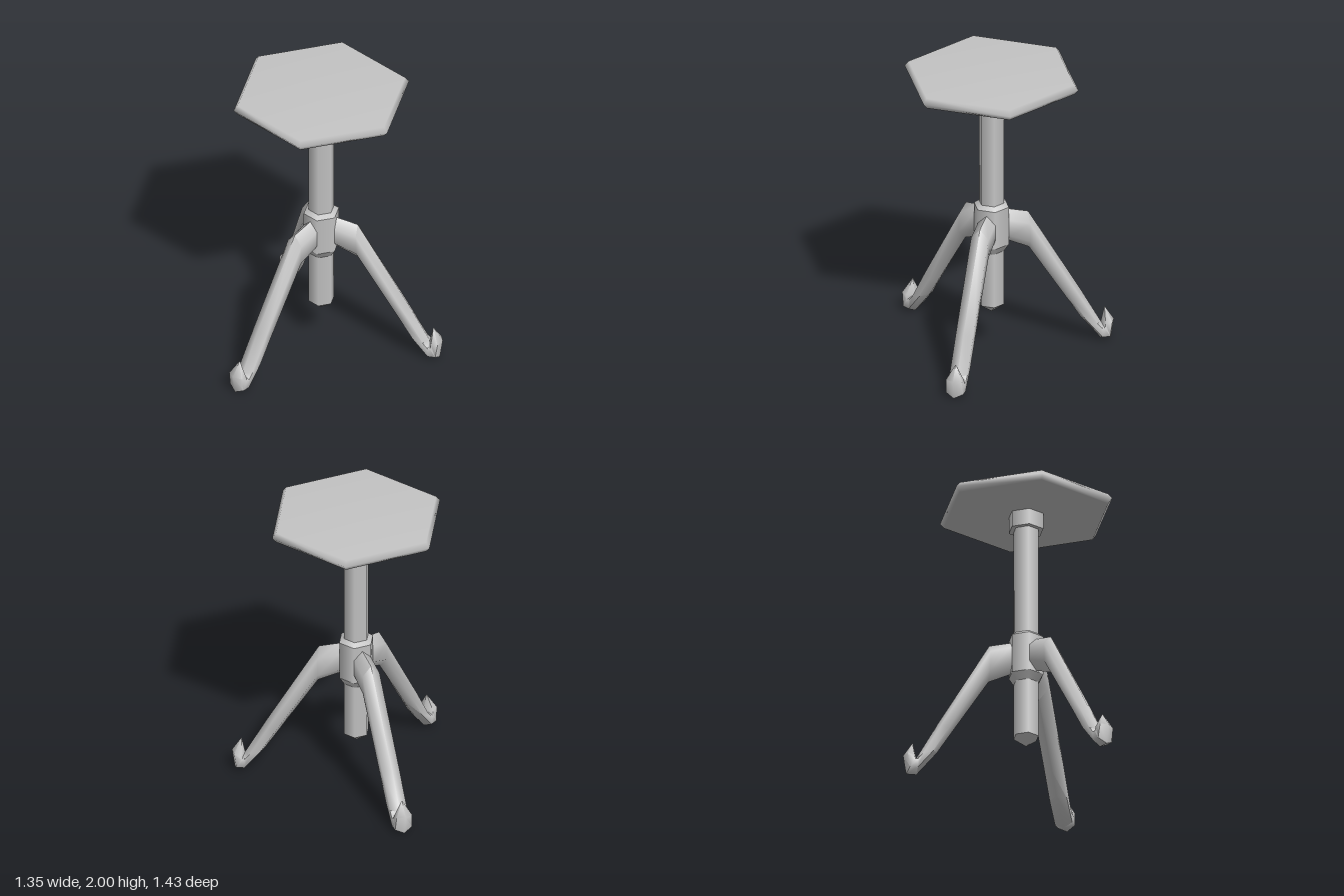
import * as THREE from 'three';
import { toCreasedNormals } from 'three/addons/utils/BufferGeometryUtils.js';

const gray = new THREE.MeshStandardMaterial({ color: 0xc4c4c4 });
gray.name = 'light gray';

// Hexagonal turned part from a (radius, height) profile, bottom to top
function hexPart(name, profile) {
  const points = profile.map(([r, y]) => new THREE.Vector2(r, y));
  const mesh = new THREE.Mesh(new THREE.LatheGeometry(points, 6), gray);
  mesh.name = name;
  return mesh;
}

// Leg cross-sections: [upper radius, upper y, lower radius, lower y, half width]
const sections = [
  [0.05, 1.02, 0.05, 0.8, 0.06],
  [0.12, 1.0, 0.12, 0.77, 0.06],
  [0.25, 0.97, 0.255, 0.71, 0.06],
  [0.605, 0.37, 0.515, 0.31, 0.06],
  [0.745, 0.12, 0.605, 0.17, 0.06],
  [0.745, 0.12, 0.745, 0.0, 0.06],
  [0.745, 0.12, 0.815, 0.0, 0.06],
  [0.745, 0.12, 0.835, 0.13, 0.055],
  [0.77, 0.225, 0.772, 0.225, 0.002],
];

// Six-sided leg that runs out from the hub and ends in an upturned toe
function legGeometry() {
  const pos = [], index = [];
  const along = [0, 0.25, 0.75, 1, 0.75, 0.25];
  const side = [0, 1, 1, 0, -1, -1];
  for (const [r0, y0, r1, y1, w] of sections) {
    for (let j = 0; j < 6; j++) {
      const t = along[j];
      pos.push(r0 + (r1 - r0) * t, y0 + (y1 - y0) * t, side[j] * w);
    }
  }
  for (let i = 0; i < sections.length - 1; i++) {
    for (let j = 0; j < 6; j++) {
      const a = i * 6 + j, b = i * 6 + (j + 1) % 6;
      index.push(a, b, a + 6, b, b + 6, a + 6);
    }
  }
  const geo = new THREE.BufferGeometry();
  geo.setAttribute('position', new THREE.Float32BufferAttribute(pos, 3));
  geo.setIndex(index);
  return toCreasedNormals(geo, 1.2);
}

export function createModel() {
  const model = new THREE.Group();
  model.name = 'stool';

  // Everything is arranged around the column axis
  const stool = new THREE.Group();
  stool.name = 'stoolBody';
  stool.position.x = 0.155;
  model.add(stool);

  stool.add(
    hexPart('seat', [[0, 1.93], [0.57, 1.93], [0.598, 1.965], [0.57, 2], [0, 2]]),
    hexPart('seatCollar', [[0.12, 1.82], [0.12, 1.935]]),
    hexPart('seatCollarBase', [[0, 1.82], [0.12, 1.82]]),
    hexPart('column', [[0.087, 0.33], [0.087, 1.83]]),
    hexPart('columnTip', [[0, 0.265], [0.087, 0.33]]),
    hexPart('hub', [[0.12, 0.77], [0.12, 1.04]]),
    hexPart('hubUpperBevel', [[0.12, 1.04], [0.087, 1.065]]),
    hexPart('hubLowerBevel', [[0.085, 0.715], [0.12, 0.77]]),
  );

  // Three legs, the side pair slightly shorter
  const geo = legGeometry();
  for (const [name, angle, reach] of [
    ['rightLeg', Math.PI, 1],
    ['frontLeg', -Math.PI / 3, 0.98],
    ['backLeg', Math.PI / 3, 0.98],
  ]) {
    const leg = new THREE.Mesh(geo, gray);
    leg.name = name;
    leg.rotation.y = angle;
    leg.scale.x = reach;
    stool.add(leg);
  }
  return model;
}
